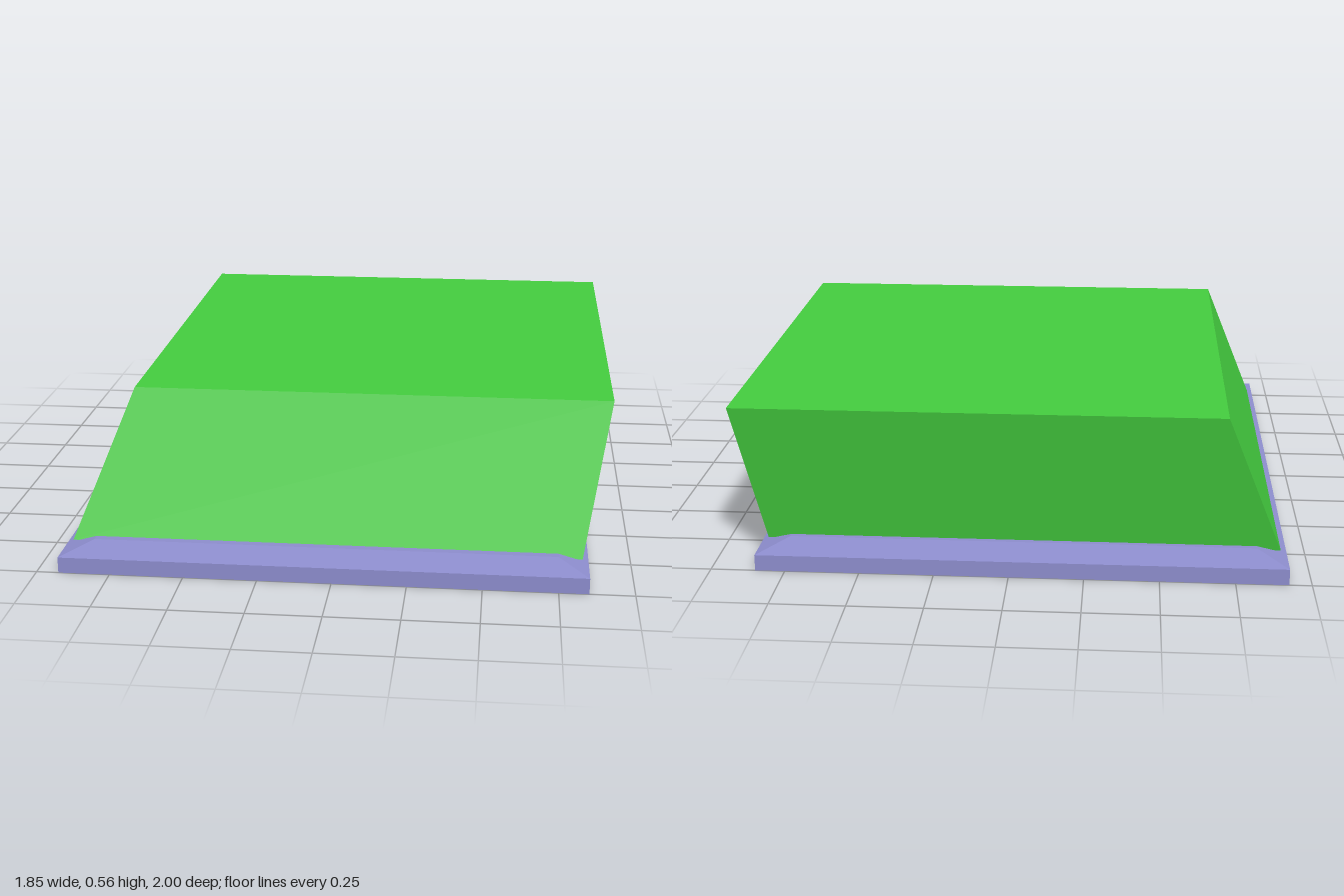
import * as THREE from 'three';

// Box whose bottom and top rectangles are set separately: { y, x: [min, max], z: [min, max] }
function slantedBox(name, color, bottom, top) {
  const geometry = new THREE.BoxGeometry(1, 1, 1);
  const pos = geometry.attributes.position;
  for (let i = 0; i < pos.count; i++) {
    const rect = pos.getY(i) > 0 ? top : bottom;
    pos.setXYZ(i, rect.x[pos.getX(i) > 0 ? 1 : 0], rect.y, rect.z[pos.getZ(i) > 0 ? 1 : 0]);
  }
  geometry.computeVertexNormals();
  const material = new THREE.MeshStandardMaterial({ color });
  const mesh = new THREE.Mesh(geometry, material);
  mesh.name = name;
  return mesh;
}

export function createModel() {
  const group = new THREE.Group();
  group.name = 'keycapBlock';
  const blue = 0x8c8ccc;
  const green = 0x44cc3f;

  // Flat base slab with a shallow bevelled top
  const foot = { y: 0, x: [-0.925, 0.85], z: [-1, 1] };
  const rim = { ...foot, y: 0.055 };
  const plateau = { y: 0.08, x: [-0.825, 0.75], z: [-0.89, 0.89] };
  const base = new THREE.Group();
  base.name = 'base';
  base.add(slantedBox('baseSlab', blue, foot, rim), slantedBox('baseBevel', blue, rim, plateau));

  // Leaning block: top is shifted to the left and back
  const body = slantedBox('body', green,
    { y: 0.065, x: [-0.905, 0.83], z: [-0.868, 0.868] },
    { y: 0.565, x: [-0.71, 0.92], z: [-0.98, 0.69] });

  group.add(base, body);
  return group;
}
